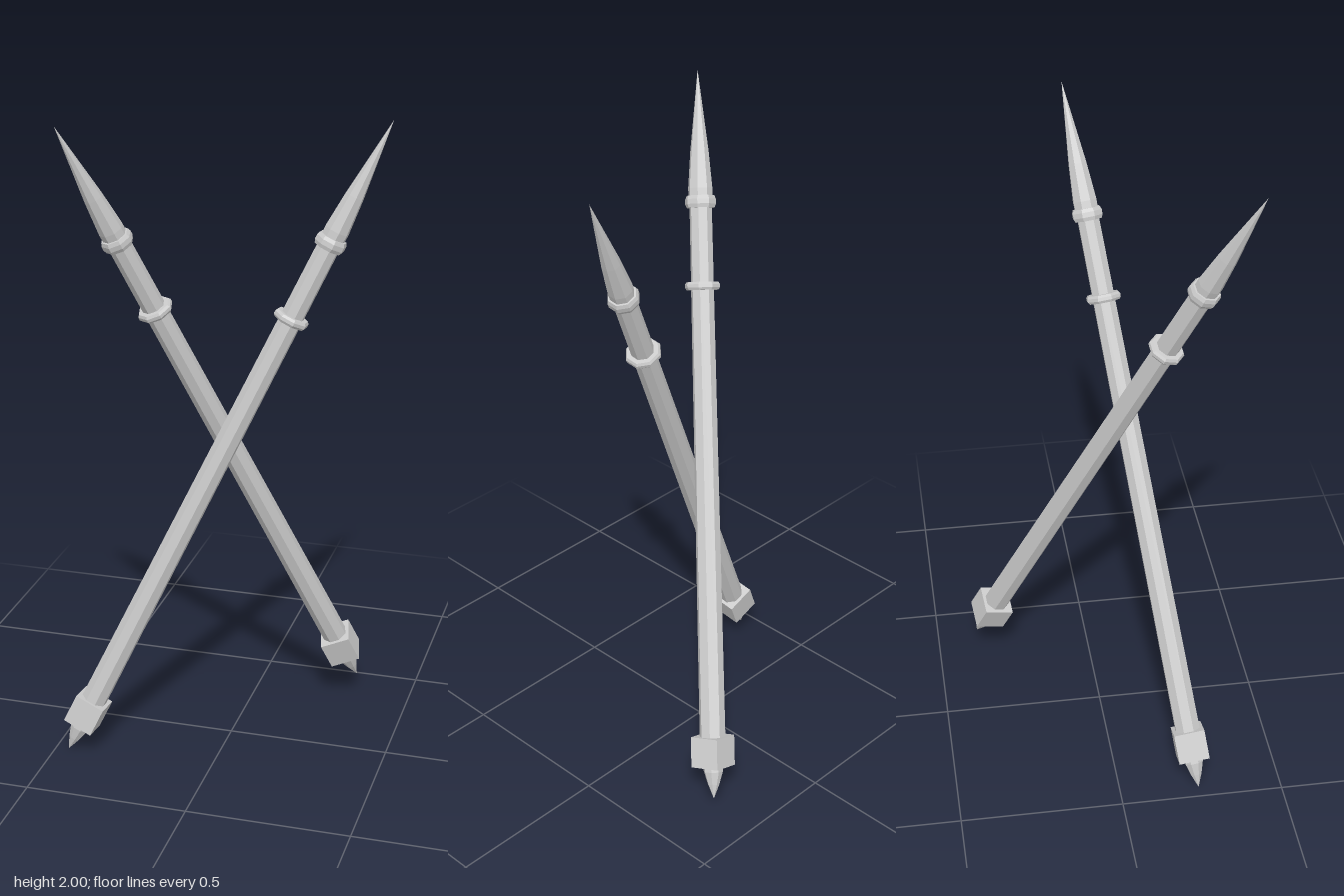
import * as THREE from 'three';

const SIDES = 8;
const LENGTH = 2.19;
const material = new THREE.MeshStandardMaterial({ color: 0xcccccc, flatShading: true });

// Eight-sided turned part; profile is [radius, distance from the butt end], bottom to top
function turned(name, profile) {
  const points = profile.map(([r, s]) => new THREE.Vector2(r, s));
  const mesh = new THREE.Mesh(new THREE.LatheGeometry(points, SIDES), material);
  mesh.rotation.y = Math.PI / SIDES;
  mesh.name = name;
  return mesh;
}

// Bevelled ring around the shaft
function ring(name, s, radius, height, inner) {
  const h = height / 2;
  return turned(name, [
    [inner, s - h], [radius * 0.9, s - h], [radius, s - h * 0.4],
    [radius, s + h * 0.4], [radius * 0.9, s + h], [inner, s + h],
  ]);
}

function createSpear(name, butt, tip, twist) {
  const spear = new THREE.Group();
  spear.name = name;

  // Pointed spike under the square block
  spear.add(turned('buttSpike', [[0, 0], [0.018, 0.045], [0.03, 0.085], [0.03, 0.11]]));

  const block = new THREE.Mesh(new THREE.BoxGeometry(0.095, 0.092, 0.095), material);
  block.name = 'buttBlock';
  block.position.y = 0.146;
  spear.add(block);

  // Slightly tapering shaft
  spear.add(turned('shaft', [[0.04, 0.18], [0.034, 1.8]]));
  spear.add(ring('lowerRing', 1.55, 0.054, 0.024, 0.03));
  spear.add(ring('headCollar', 1.8, 0.047, 0.036, 0.03));

  // Long, gently bulging head
  spear.add(turned('spearHead', [[0.036, 1.8], [0.037, 1.84], [0.028, 1.95], [0, LENGTH]]));

  // Lean the spear along the line from butt to tip
  const up = new THREE.Vector3(0, 1, 0);
  const axis = tip.clone().sub(butt).normalize();
  spear.quaternion.setFromUnitVectors(up, axis)
    .multiply(new THREE.Quaternion().setFromAxisAngle(up, twist));
  spear.scale.y = tip.distanceTo(butt) / LENGTH;
  spear.position.copy(butt);
  return spear;
}

export function createModel() {
  const model = new THREE.Group();
  model.name = 'crossedSpears';
  model.add(createSpear('leftLeaningSpear',
    new THREE.Vector3(-0.46, 0, 0.245), new THREE.Vector3(0.46, 1.98, -0.045), -0.02));
  model.add(createSpear('rightLeaningSpear',
    new THREE.Vector3(0.325, 0.065, -0.372), new THREE.Vector3(-0.39, 2, 0.385), 0.17));
  return model;
}
